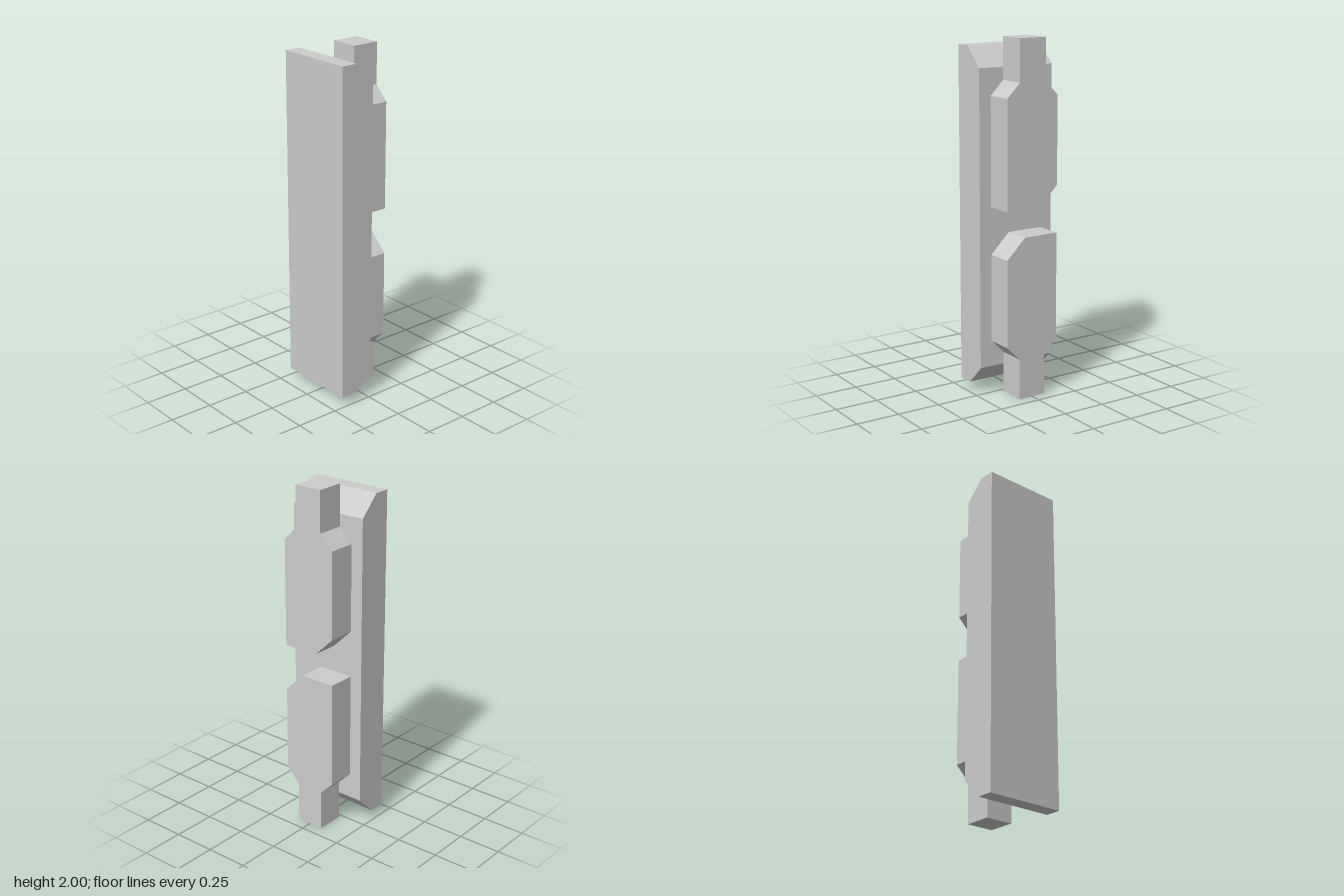
import * as THREE from 'three';

const material = new THREE.MeshStandardMaterial({ color: 0xcccccc, flatShading: true });

// Prism from a closed outline, extruded along +z
function prism(points, depth) {
  const shape = new THREE.Shape(points.map(([x, y]) => new THREE.Vector2(x, y)));
  return new THREE.ExtrudeGeometry(shape, { depth, bevelEnabled: false });
}

function addPart(group, name, geometry) {
  const mesh = new THREE.Mesh(geometry, material);
  mesh.name = name;
  group.add(mesh);
}

export function createModel() {
  const group = new THREE.Group();
  group.name = 'latchPlate';

  // Tall plate with chamfered ends
  const plate = prism([
    [-0.183, 0.052], [-0.09, 0.052], [0.023, 0.165],
    [0.023, 1.838], [-0.09, 1.951], [-0.183, 1.951],
  ], 0.472);
  plate.translate(0, 0, -0.236);
  addPart(group, 'backPlate', plate);

  // Stemmed block, outlined around the model's mid height (across, up)
  const block = prism([
    [-0.083, 1], [-0.083, 0.767], [-0.163, 0.687], [-0.163, 0.077],
    [0.047, 0.077], [0.163, 0.191], [0.163, 0.687], [0.083, 0.767], [0.083, 1],
  ], 0.16);
  block.rotateY(Math.PI / 2).translate(0.023, 0, 0);

  // The lower block is the upper one turned half round the x axis
  for (const [name, turn] of [['upperBlock', 0], ['lowerBlock', Math.PI]]) {
    addPart(group, name, block.clone().rotateX(turn).translate(0, 1, 0));
  }
  return group;
}
